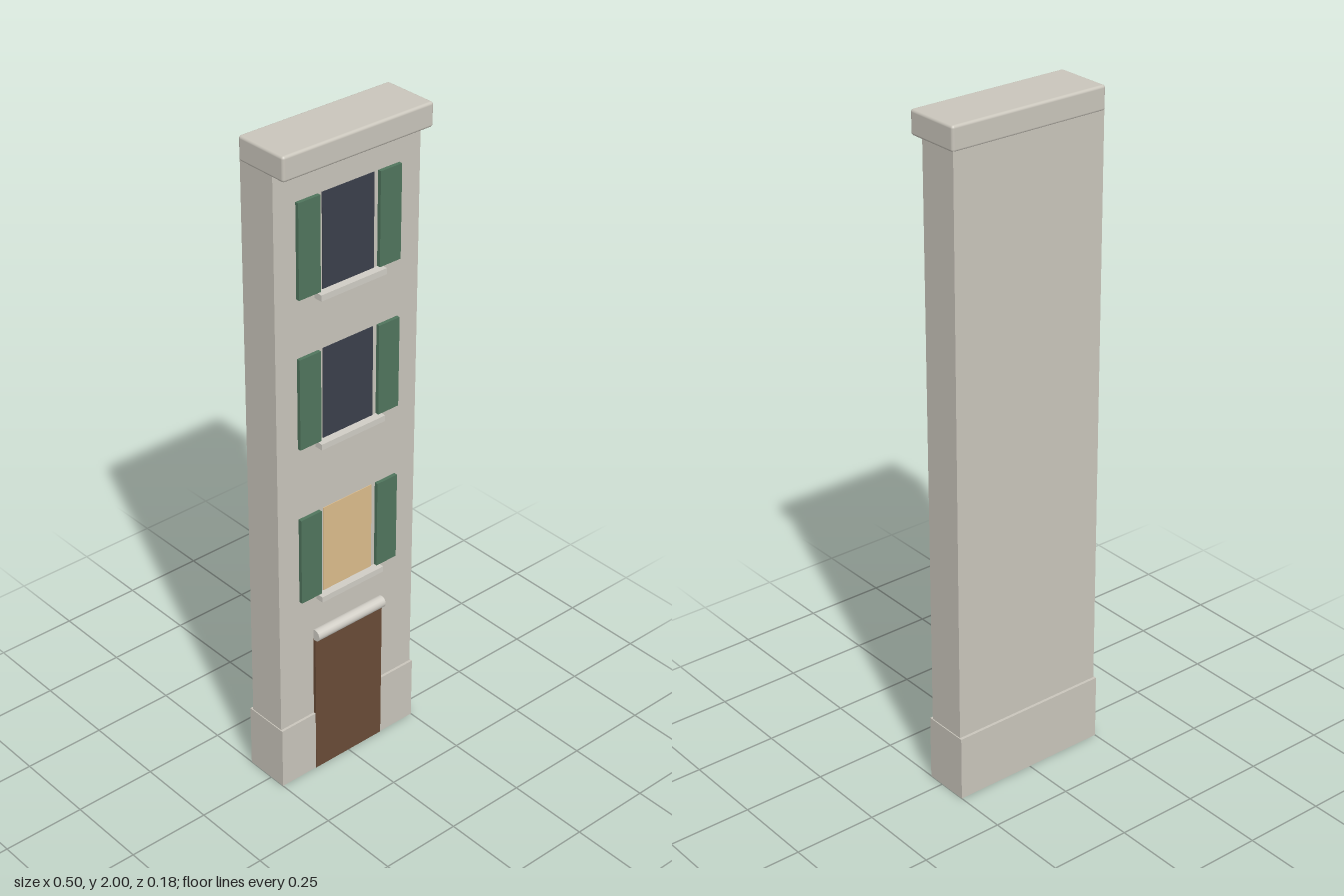
import * as THREE from 'three';
import { RoundedBoxGeometry } from 'three/addons/geometries/RoundedBoxGeometry.js';

const mat = (color) => new THREE.MeshStandardMaterial({ color });

export function createModel() {
  const house = new THREE.Group();
  house.name = 'townhouse';

  const stone = mat(0xc9c5bb);
  const trim = mat(0xd0cdc5);
  const green = mat(0x50755d);
  const wood = mat(0x694b37);
  const darkGlass = mat(0x3b3f4b);
  const litGlass = mat(0xdcbc8c);

  function add(parent, name, geometry, material, x, y, z) {
    const mesh = new THREE.Mesh(geometry, material);
    mesh.name = name;
    mesh.position.set(x, y, z);
    parent.add(mesh);
    return mesh;
  }

  // Box given by its extents along y and z, centred on x
  function block(parent, name, material, x, width, y0, y1, z0, z1) {
    const geometry = new THREE.BoxGeometry(width, y1 - y0, z1 - z0);
    return add(parent, name, geometry, material, x, (y0 + y1) / 2, (z0 + z1) / 2);
  }

  // Wall and the slightly wider base course
  const wallFront = 0.044;
  block(house, 'wall', stone, 0, 0.494, 0.0, 1.95, -0.081, wallFront);
  block(house, 'plinth', stone, 0, 0.5, 0, 0.2, -0.09, 0.052);

  // Overhanging cornice with softened edges
  add(house, 'cornice', new RoundedBoxGeometry(0.5, 0.07, 0.172, 3, 0.008),
    stone, 0, 1.965, 0.003);

  // Door with a rounded moulding above it
  block(house, 'door', wood, 0, 0.25, 0, 0.465, 0.03, 0.0535);
  const moulding = new THREE.CylinderGeometry(0.018, 0.018, 0.25, 16);
  moulding.rotateZ(Math.PI / 2);
  add(house, 'doorMoulding', moulding, trim, 0, 0.479, 0.052);

  // One window per upper floor: pane, sill and a pair of shutters
  const floors = [[0.615, litGlass], [1.115, darkGlass], [1.565, darkGlass]];
  for (const [bottom, glass] of floors) {
    const unit = new THREE.Group();
    unit.name = 'window';
    house.add(unit);
    const top = bottom + 0.275;
    block(unit, 'pane', glass, 0, 0.176, bottom, top, 0.03, wallFront + 0.002);
    block(unit, 'sill', trim, 0, 0.226, bottom - 0.018, bottom, 0.03, 0.07);
    for (const side of [-1, 1]) {
      block(unit, side > 0 ? 'leftShutter' : 'rightShutter', green,
        side * 0.138, 0.073, bottom, top, 0.04, 0.055);
    }
  }

  return house;
}
